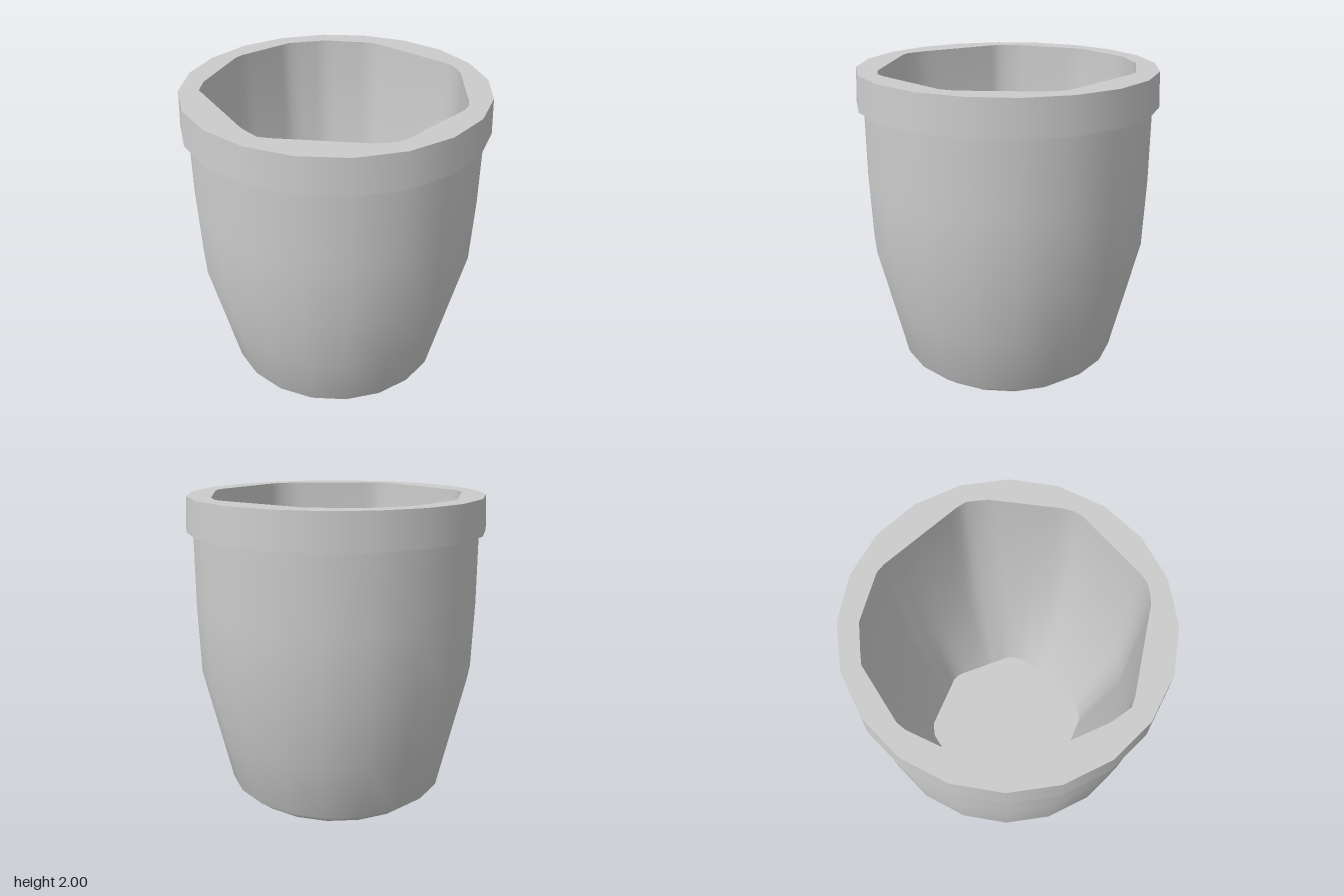
import * as THREE from 'three';
import { toCreasedNormals } from 'three/addons/utils/BufferGeometryUtils.js';

const SIDES = 20, FINE = 80;

// Radius of a regular polygon (corner on +z) at an angle measured from +z towards +x
const regular = (r) => (a) => {
  const step = (2 * Math.PI) / SIDES;
  const t = ((a % step) + step) % step;
  return (r * Math.cos(step / 2)) / Math.cos(t - step / 2);
};

// Radius of an irregular polygon of [x, z] corners round the origin
const irregular = (corners) => (a) => {
  const dx = Math.sin(a), dz = Math.cos(a);
  for (let i = 0; i < corners.length; i++) {
    const [x1, z1] = corners[i], [x2, z2] = corners[(i + 1) % corners.length];
    const ex = x2 - x1, ez = z2 - z1;
    const den = dx * ez - dz * ex;
    if (Math.abs(den) < 1e-9) continue;
    const r = (x1 * ez - z1 * ex) / den;
    const u = (x1 * dz - z1 * dx) / den;
    if (r > 0 && u >= -1e-6 && u <= 1 + 1e-6) return r;
  }
  return 0.6;
};

// Loft through rings of [radius function, height]
function loft(rings) {
  const geo = new THREE.LatheGeometry(rings.map(([, y]) => new THREE.Vector2(1, y)), FINE);
  const p = geo.attributes.position;
  for (let i = 0; i < p.count; i++) {
    const a = (Math.floor(i / rings.length) % FINE) * 2 * Math.PI / FINE;
    const [radius, y] = rings[i % rings.length];
    p.setXYZ(i, Math.sin(a) * radius(a), y, Math.cos(a) * radius(a));
  }
  return toCreasedNormals(geo, 0.9);
}

export function createModel() {
  const pot = new THREE.Group();
  pot.name = 'flowerPot';
  const material = new THREE.MeshStandardMaterial({ color: 0xcccccc, side: THREE.DoubleSide });
  const add = (name, geometry) => {
    const mesh = new THREE.Mesh(geometry, material);
    mesh.name = name;
    pot.add(mesh);
  };
  const turned = (points) =>
    new THREE.LatheGeometry(points.map(([r, y]) => new THREE.Vector2(r, y)), SIDES);

  // Outside: flat base, bevelled foot, swelling wall and rim band
  add('base', turned([[0, 0], [0.64, 0]]));
  add('outerWall', turned([
    [0.64, 0.005], [0.73, 0.08], [0.815, 0.46], [0.905, 0.86], [0.917, 1.3], [0.913, 1.78],
  ]));
  add('rimUnderside', turned([[0.913, 1.78], [0.955, 1.78]]));
  add('rimBand', turned([[0.955, 1.78], [0.943, 2]]));

  // Inside: uneven, roughly faceted hollow
  const mouth = irregular([
    [-0.82, 0], [-0.8, -0.13], [-0.6, -0.56], [-0.25, -0.79], [0, -0.82], [0.33, -0.74],
    [0.78, -0.27], [0.8, -0.13], [0.74, 0.35], [0.7, 0.42], [0.28, 0.78], [0.15, 0.8],
    [-0.47, 0.67], [-0.56, 0.55],
  ]);
  const bottom = irregular([
    [0, -0.59], [0.38, -0.44], [0.42, -0.4], [0.58, 0], [0.56, 0.12], [0.17, 0.55],
    [0.05, 0.57], [-0.44, 0.37], [-0.49, 0.3], [-0.53, -0.2], [-0.49, -0.31], [-0.1, -0.58],
  ]);
  const belly = (a) => mouth(a) * 0.99;
  const floorY = 0.1;
  add('rimTop', loft([[regular(0.943), 2], [mouth, 2]]));
  add('innerWall', loft([[mouth, 2], [belly, 0.9], [bottom, floorY]]));
  add('innerFloor', loft([[bottom, floorY], [() => 0, floorY]]));
  return pot;
}
